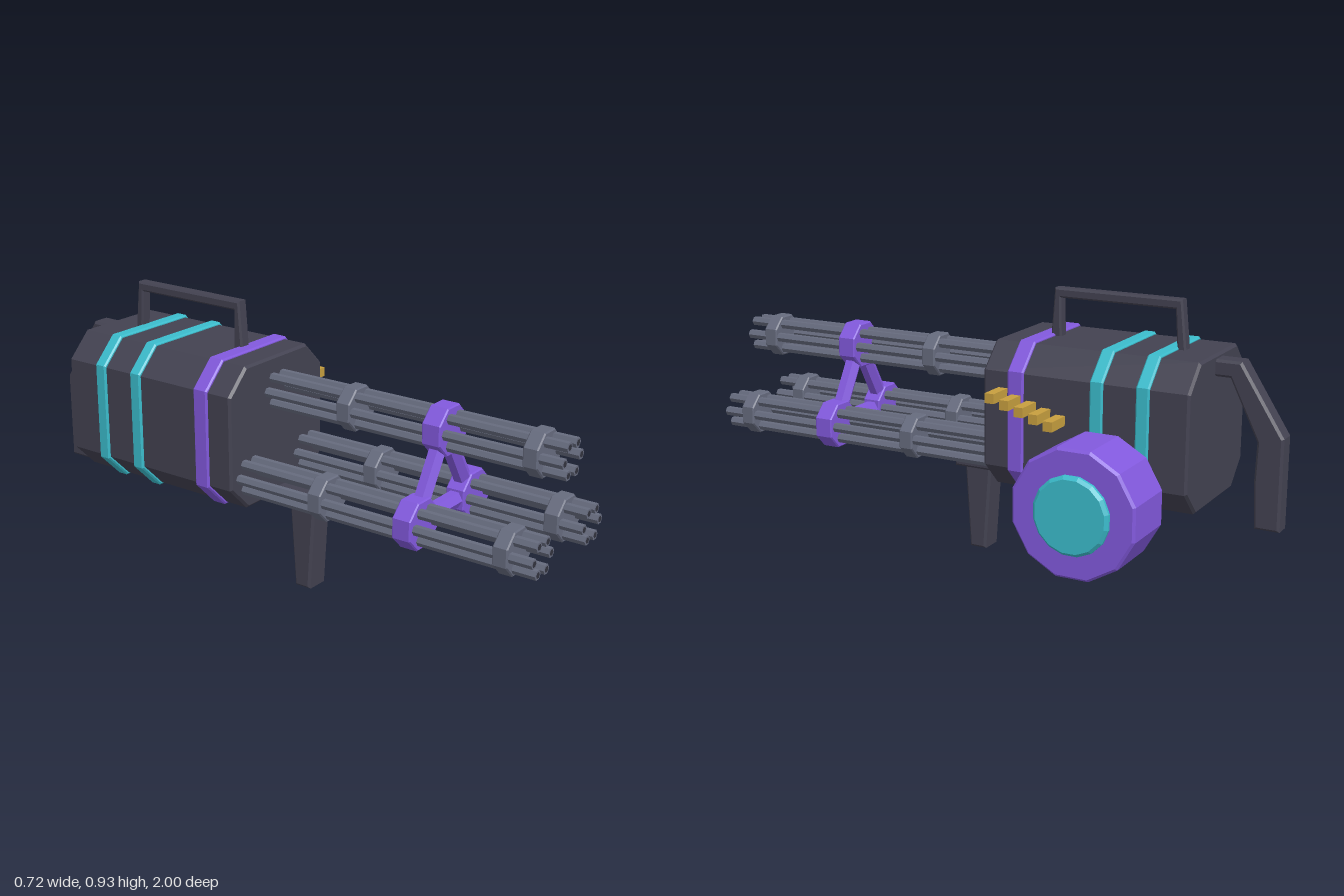
import * as THREE from 'three';

const mat = (name, color) => Object.assign(new THREE.MeshStandardMaterial({ color }), { name });

export function createModel() {
  const dark = mat('dark casing', 0x434251);
  const steel = mat('barrel steel', 0x666b7e);
  const purple = mat('purple trim', 0x8259dd);
  const teal = mat('teal glow', 0x3bbccc);
  const gold = mat('brass', 0xc79f3f);
  const bore = mat('bore', 0x32333e);

  const model = new THREE.Group();
  model.name = 'rotaryGun';
  const CX = -0.115, CY = 0.532;

  const add = (name, geometry, material, parent = model) => {
    const mesh = new THREE.Mesh(geometry, material);
    mesh.name = name;
    parent.add(mesh);
    return mesh;
  };

  // Bevelled prism: outline extruded along z, from z0 to z1
  const prism = (points, z0, z1, bevel = 0.006) => {
    const shape = new THREE.Shape(points.map(([x, y]) => new THREE.Vector2(x, y)));
    const g = new THREE.ExtrudeGeometry(shape, {
      depth: z1 - z0 - 2 * bevel, bevelEnabled: bevel > 0, bevelSize: bevel,
      bevelThickness: bevel, bevelOffset: -bevel, bevelSegments: 1,
    });
    return g.translate(0, 0, z0 + bevel);
  };
  // Side profile given as [z, y], extruded along x from x0 to x1
  const sidePrism = (points, x0, x1, bevel) =>
    prism(points.map(([z, y]) => [-z, y]), x0, x1, bevel).rotateY(Math.PI / 2);
  // Regular polygon with flats facing the axes
  const polygon = (n, apothem, cx, cy) => Array.from({ length: n }, (_, i) => {
    const a = ((i + 0.5) / n) * Math.PI * 2, r = apothem / Math.cos(Math.PI / n);
    return [cx + r * Math.cos(a), cy + r * Math.sin(a)];
  });
  // Square with cut corners, for the casing and its bands
  const cutSquare = (h, c) => [
    [h, -h + c], [h, h - c], [h - c, h], [-h + c, h],
    [-h, h - c], [-h, -h + c], [-h + c, -h], [h - c, -h],
  ].map(([x, y]) => [CX + x, CY + y]);

  // Casing and bands
  add('casing', prism(cutSquare(0.24, 0.083), -0.772, -0.07, 0.008), dark);
  add('frontBand', prism(cutSquare(0.248, 0.085), -0.216, -0.16, 0.005), purple);
  for (const z of [-0.468, -0.622])
    add('tealBand', prism(cutSquare(0.248, 0.085), z - 0.022, z + 0.022, 0.005), teal);

  // Three barrel clusters
  const centres = [[CX, 0.66], [CX - 0.15, 0.406], [CX + 0.15, 0.406]];
  for (const [cx, cy] of centres) {
    const cluster = new THREE.Group();
    cluster.name = 'barrelCluster';
    model.add(cluster);
    for (let i = 0; i < 6; i++) {
      const a = (i / 6) * Math.PI * 2;
      const x = cx + 0.05 * Math.cos(a), y = cy + 0.05 * Math.sin(a);
      const barrel = new THREE.CylinderGeometry(0.0165, 0.0165, 1.09, 6).toNonIndexed();
      barrel.computeVertexNormals();
      add('barrel', barrel.rotateY(Math.PI / 6).rotateX(Math.PI / 2).translate(x, y, 0.454), steel, cluster);
      const hole = new THREE.CircleGeometry(0.0105, 6);
      add('bore', hole.translate(x, y, 0.9996), bore, cluster);
    }
    for (const z of [0.24, 0.898])
      add('barrelClamp', prism(polygon(8, 0.07, cx, cy), z - 0.025, z + 0.025, 0.004), steel, cluster);
    add('purpleClamp', prism(polygon(8, 0.077, cx, cy), 0.535, 0.6, 0.004), purple, cluster);
  }

  // Struts joining the clusters
  centres.forEach(([x0, y0], i) => {
    const [x1, y1] = centres[(i + 1) % 3];
    const g = new THREE.CylinderGeometry(0.029, 0.029, Math.hypot(x1 - x0, y1 - y0) - 0.13, 6).toNonIndexed();
    g.computeVertexNormals();
    const strut = add('strut', g, purple);
    strut.position.set((x0 + x1) / 2, (y0 + y1) / 2, 0.567);
    strut.rotation.z = Math.atan2(y1 - y0, x1 - x0) - Math.PI / 2;
  });

  // Front grip
  add('gripMount', sidePrism([[-0.01, 0.295], [-0.01, 0.358], [0.134, 0.358], [0.134, 0.295]],
    CX - 0.074, CX + 0.074, 0.008), dark);
  add('frontGrip', sidePrism([[0.032, 0.003], [0.011, 0.31], [0.112, 0.31], [0.092, 0.003]],
    CX - 0.045, CX + 0.045, 0.008), dark);

  // Carry handle: bar on two slanted legs
  add('carryHandle', sidePrism([
    [-0.198, 0.765], [-0.21, 0.93], [-0.65, 0.93], [-0.668, 0.765],
    [-0.638, 0.765], [-0.628, 0.898], [-0.232, 0.898], [-0.236, 0.765],
  ], CX - 0.021, CX + 0.021, 0.006), dark);

  // Rear handle
  add('rearHandle', sidePrism([
    [-0.75, 0.758], [-0.855, 0.758], [-1, 0.532], [-1, 0.232], [-0.918, 0.232],
    [-0.91, 0.38], [-0.915, 0.512], [-0.82, 0.704], [-0.75, 0.704],
  ], CX - 0.035, CX + 0.035, 0.008), dark);

  // Ammunition drum with a glowing cap
  add('drum', sidePrism(polygon(12, 0.205, -0.494, 0.332), 0.13, 0.341, 0.008), purple);
  add('drumCap', sidePrism(polygon(16, 0.125, -0.494, 0.332), 0.33, 0.361, 0.01), teal);

  // Row of cartridges feeding the casing
  for (let i = 0; i < 5; i++) {
    const g = new THREE.BoxGeometry(0.092, 0.032, 0.032);
    add('cartridge', g.translate(0.169, 0.621 - i * 0.016, -0.141 - i * 0.051), gold);
  }
  return model;
}
